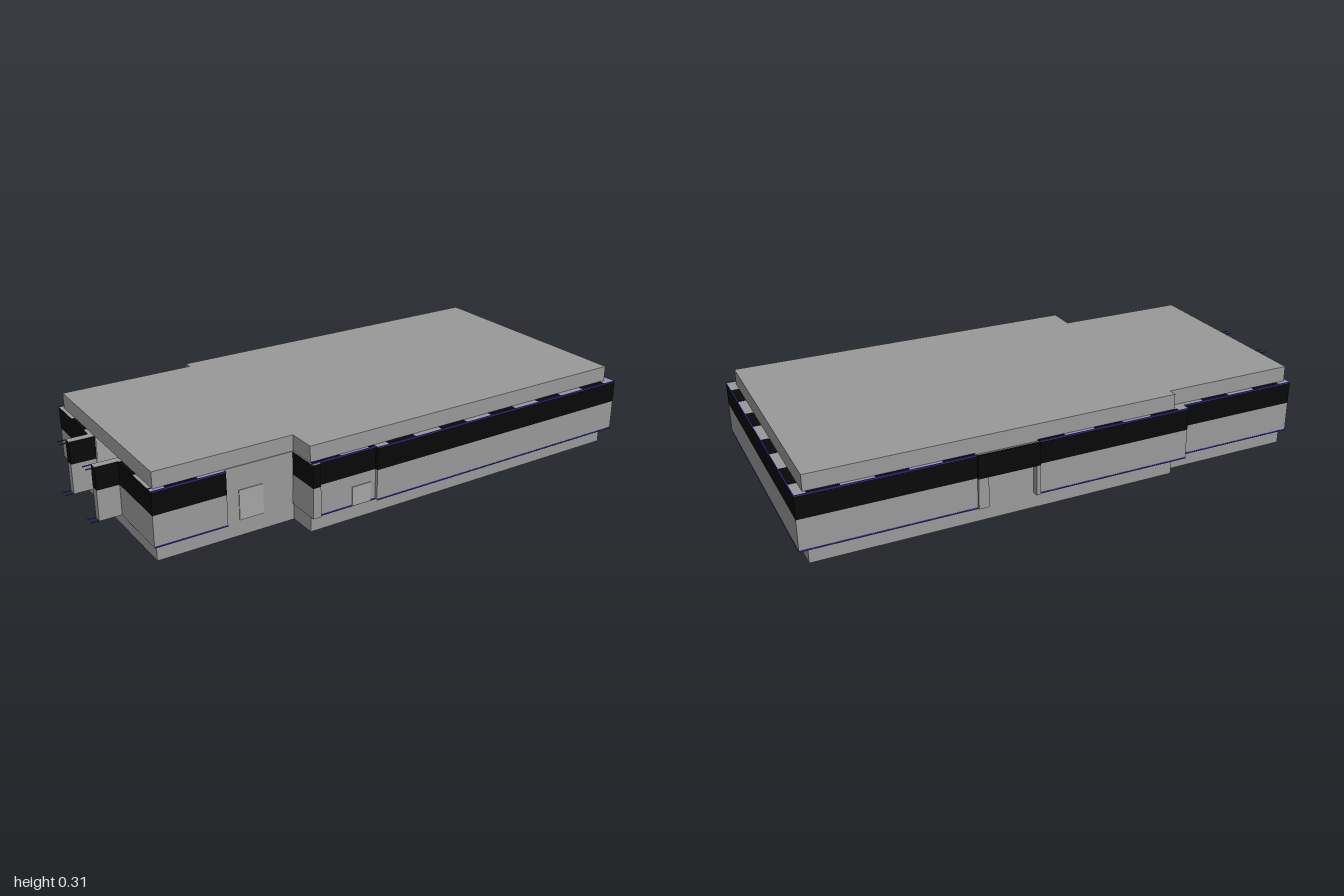
import * as THREE from 'three';

const mat = (name, color) => {
  const m = new THREE.MeshStandardMaterial({ color });
  m.name = name;
  return m;
};

export function createModel() {
  const grey = mat('concrete grey', 0x999999);
  const black = mat('band black', 0x080808);
  const blue = mat('trim blue', 0x3030b8);
  const pale = mat('door grey', 0xa4a4a4);
  const light = mat('light pane', 0xf0f0f0);

  const group = new THREE.Group();
  const Y0 = 0.06, BAND = 0.172, Y1 = 0.256;

  // box given by its limits on each axis
  const box = (name, x0, x1, y0, y1, z0, z1, material) => {
    const g = new THREE.BoxGeometry(x1 - x0, y1 - y0, z1 - z0);
    g.translate((x0 + x1) / 2, (y0 + y1) / 2, (z0 + z1) / 2);
    const mesh = new THREE.Mesh(g, material);
    mesh.name = name;
    group.add(mesh);
  };

  // floor and roof slabs share one stepped outline
  const outline = [[-0.877, 0.345], [-0.37, 0.345], [-0.37, 0.452], [0.968, 0.452],
    [0.968, -0.452], [-0.37, -0.452], [-0.37, -0.42], [-0.877, -0.42]];
  const shape = new THREE.Shape(outline.map(([x, z]) => new THREE.Vector2(x, -z)));
  const slab = (name, y, h) => {
    const g = new THREE.ExtrudeGeometry(shape, { depth: h, bevelEnabled: false });
    g.rotateX(-Math.PI / 2);
    g.translate(0, y, 0);
    const mesh = new THREE.Mesh(g, grey);
    mesh.name = name;
    group.add(mesh);
  };
  slab('floorSlab', 0, Y0);
  slab('roofSlab', Y1, 0.058);

  // thin wall: grey below, black band above with a grey top face
  const bandMats = [black, black, grey, black, black, black];
  const wall = (name, x0, x1, z0, z1, lower = true) => {
    if (lower) box(name, x0, x1, Y0, BAND, z0, z1, grey);
    box(name + 'Band', x0, x1, BAND, Y1, z0, z1, bandMats);
  };
  wall('frontWall', -0.12, 1, 0.452, 0.478);
  wall('frontDoorWall', -0.35, -0.12, 0.452, 0.466);
  wall('frontCornerPost', -0.375, -0.345, 0.452, 0.478);
  wall('notchReturnWall', -0.375, -0.365, 0.35, 0.452);
  wall('frontRightWall', -0.89, -0.63, 0.345, 0.362);
  wall('leftWall', 0.968, 1, -0.468, 0.452);
  wall('backWallLeft', 0.397, 0.968, -0.468, -0.452);
  wall('backWallCentre', -0.42, 0.17, -0.468, -0.452);
  wall('backWallRight', -0.89, -0.42, -0.44, -0.42);
  wall('backStepWall', -0.42, -0.37, -0.452, -0.42);
  wall('rightWallBack', -0.89, -0.877, -0.42, -0.125);
  wall('rightWallFront', -0.89, -0.877, 0.075, 0.345);

  // plain wall of the recessed front entrance, and its door
  box('entranceWall', -0.63, -0.375, Y0, Y1, 0.335, 0.348, grey);
  box('entranceDoor', -0.58, -0.49, Y0, 0.17, 0.348, 0.351, pale);
  box('smallDoor', -0.215, -0.14, Y0, 0.13, 0.466, 0.469, pale);

  // back bay: band stands out over a recessed doorway
  wall('backBay', 0.17, 0.397, -0.478, -0.462, false);
  box('bayDoorWall', 0.17, 0.397, Y0, Y1, -0.452, -0.442, grey);
  box('bayPost', 0.36, 0.397, Y0, BAND, -0.478, -0.452, grey);
  box('bayPost', 0.17, 0.185, Y0, BAND, -0.478, -0.452, grey);

  // fin walls either side of the right-hand entrance, with thin rails
  for (const [z0, z1] of [[-0.155, -0.125], [0.075, 0.105]]) {
    wall('entranceFin', -0.97, -0.877, z0, z1);
    for (const z of [z0, z1 - 0.003])
      for (const y of [Y0, Y1 - 0.003]) box('finRail', -1, -0.97, y, y + 0.003, z, z + 0.003, blue);
  }
  box('entrancePane', -0.875, -0.87, Y0, Y1, -0.125, 0.075, light);

  // blue trim lines along the foot and top of the outer walls
  for (const y of [Y0 - 0.002, Y1 - 0.002]) {
    const h = y + 0.004;
    box('trim', -0.12, 1, y, h, 0.477, 0.48, blue);
    box('trim', -0.375, -0.12, y, h, 0.465, 0.468, blue);
    box('trim', -0.89, -0.63, y, h, 0.361, 0.364, blue);
    box('trim', 0.998, 1.001, y, h, -0.465, 0.455, blue);
    box('trim', 0.397, 1, y, h, -0.47, -0.467, blue);
    box('trim', -0.42, 0.17, y, h, -0.47, -0.467, blue);
    box('trim', -0.89, -0.42, y, h, -0.442, -0.439, blue);
  }

  // alternating black panels on the top and underside of the walls
  const dashes = (start, end, cross0, cross1, alongX) => {
    for (let a = start; a < end; a += 0.226) {
      const b = Math.min(a + 0.112, end);
      for (const y of [Y0 - 0.001, Y1]) {
        if (alongX) box('wallPanel', a, b, y, y + 0.001, cross0, cross1, black);
        else box('wallPanel', cross0, cross1, y, y + 0.001, a, b, black);
      }
    }
  };
  dashes(-0.07, 1, 0.453, 0.478, true);
  dashes(-0.37, -0.12, 0.453, 0.466, true);
  dashes(-0.84, -0.63, 0.346, 0.362, true);
  dashes(-0.39, 0.44, 0.969, 1, false);
  dashes(0.4, 0.96, -0.468, -0.453, true);
  dashes(-0.38, 0.17, -0.468, -0.453, true);
  dashes(-0.84, -0.42, -0.44, -0.421, true);
  dashes(-0.31, -0.13, -0.89, -0.878, false);
  dashes(0.11, 0.34, -0.89, -0.878, false);
  box('bayPanel', 0.17, 0.397, Y1, Y1 + 0.001, -0.478, -0.47, black);

  return group;
}
